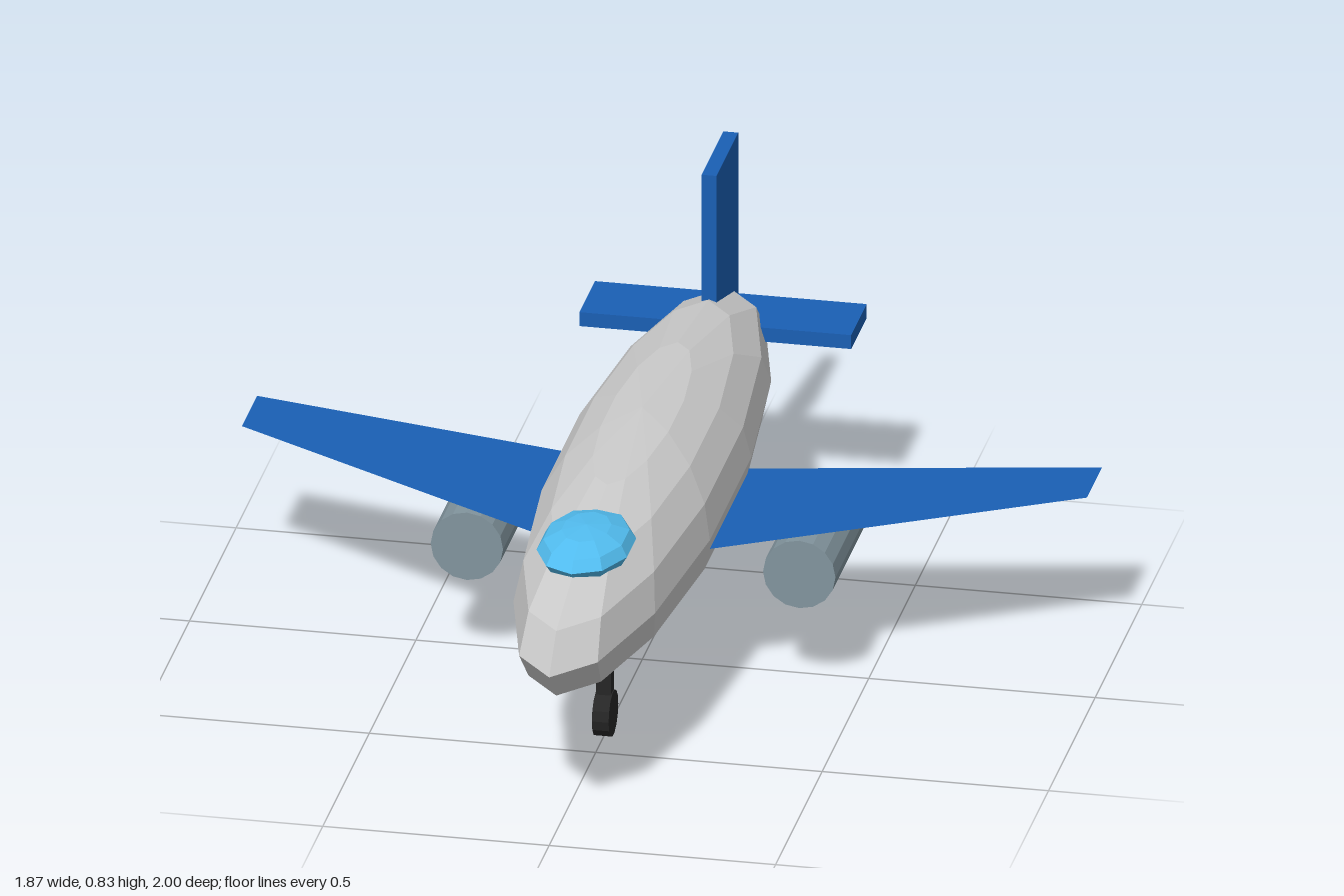
import * as THREE from 'three';

const material = (color, extra = {}) =>
  new THREE.MeshStandardMaterial({ color, flatShading: true, ...extra });

export function createModel() {
  const group = new THREE.Group();
  const grey = material(0xcccccc);
  const blue = material(0x1a5fb4);
  const blueSheet = material(0x1a5fb4, { side: THREE.DoubleSide });
  const glass = material(0x52bdf0);
  const steel = material(0x82959e);
  const black = material(0x262626);

  const add = (name, geometry, mat, x, y, z) => {
    const mesh = new THREE.Mesh(geometry, mat);
    mesh.name = name;
    mesh.position.set(x, y, z);
    group.add(mesh);
  };
  // Faceted ellipsoid with a vertex pointing straight ahead
  const ellipsoid = (rx, ry, rz, w, h) =>
    new THREE.SphereGeometry(1, w, h).rotateY(Math.PI / 2).scale(rx, ry, rz);

  // Body and flattened cockpit canopy
  add('fuselage', ellipsoid(0.2, 0.2, 1, 14, 8), grey, 0, 0.4, 0);
  add('canopy', ellipsoid(0.105, 0.047, 0.163, 10, 6), glass, 0, 0.54, 0.6);

  // Swept sheet wings resting on the engines below them
  for (const side of [1, -1]) {
    const label = side > 0 ? 'left' : 'right';
    const outline = new THREE.Shape(
      [[0, 0.3], [0.933, -0.237], [0.933, -0.4], [0, -0.2]]
        .map(([x, z]) => new THREE.Vector2(side * x, -z)));
    const wing = new THREE.ShapeGeometry(outline).rotateX(-Math.PI / 2);
    add(label + 'Wing', wing, blueSheet, 0, 0.365, 0);

    const engine = new THREE.CylinderGeometry(0.08, 0.08, 0.333, 16).rotateX(Math.PI / 2);
    add(label + 'Engine', engine, steel, side * 0.367, 0.28, -0.067);
  }

  // Tail
  add('tailFin', new THREE.BoxGeometry(0.033, 0.4, 0.233), blue, 0, 0.633, -0.833);
  add('tailplane', new THREE.BoxGeometry(0.6, 0.033, 0.167), blue, 0, 0.435, -0.867);

  // Nose gear
  add('gearStrut', new THREE.BoxGeometry(0.033, 0.15, 0.033), black, 0, 0.127, 0.4);
  add('noseWheel', new THREE.CylinderGeometry(0.052, 0.052, 0.037, 14).rotateZ(Math.PI / 2),
    black, 0, 0.052, 0.4);

  return group;
}
